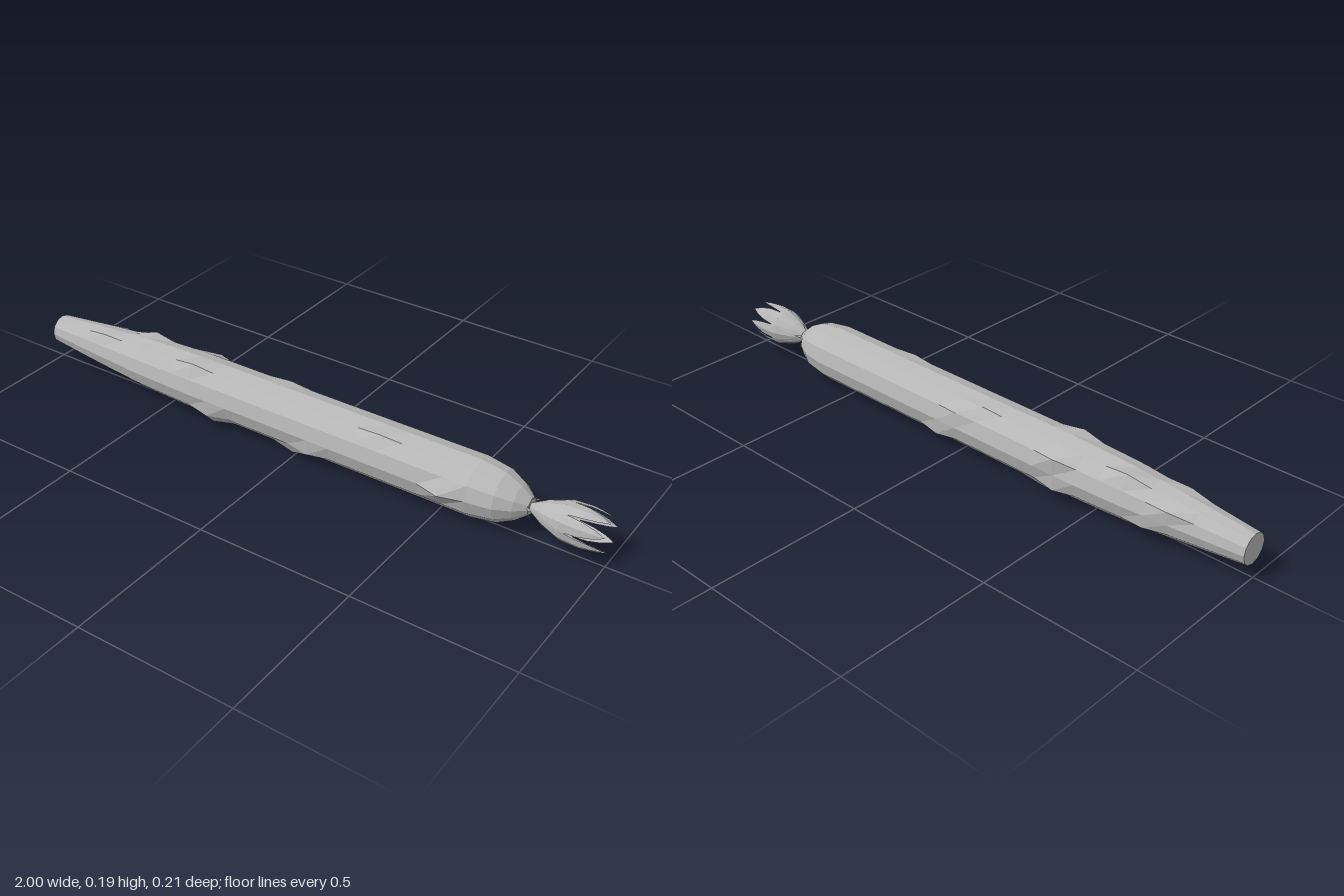
import * as THREE from 'three';

const SIDES = 12;
const CY = 0.102, CZ = -0.011; // long axis of the fruit

// Radius of the fruit along x
const PROFILE = [[-1, 0.048], [-0.8, 0.068], [-0.6, 0.085], [-0.4, 0.091], [0.6, 0.092], [0.68, 0.08], [0.73, 0.055], [0.765, 0.026]];
// Warts: x, side index (0 top, 3 front, 6 bottom, 9 back), height
const WARTS = [
  [0.53, 3, 0.021], [0.05, 4, 0.012], [-0.35, 4, 0.014], [-0.35, 5, 0.016], [0.22, 6, 0.006],
  [-0.4, 10, 0.018], [0.0, 10, 0.008], [-0.74, 10, 0.012], [-0.62, 11, 0.014], [-0.4, 1, 0.012],
  [-0.08, 11, 0.006], [0.3, 1, 0.006], [0.0, 5, 0.015], [-0.77, 1, 0.007], [-0.3, 7, 0.006],
  [0.05, 8, 0.012], [-0.4, 8, 0.012], [-0.7, 8, 0.008],
];

function radiusAt(x) {
  for (let i = 1; i < PROFILE.length; i++) {
    const [x0, r0] = PROFILE[i - 1], [x1, r1] = PROFILE[i];
    if (x <= x1) return r0 + (r1 - r0) * (x - x0) / (x1 - x0);
  }
  return PROFILE[PROFILE.length - 1][1];
}

// Faceted geometry from points and triangle indices
function faceted(points, index) {
  const g = new THREE.BufferGeometry();
  g.setAttribute('position', new THREE.Float32BufferAttribute(points, 3));
  g.setIndex(index);
  const flat = g.toNonIndexed();
  flat.computeVertexNormals();
  return flat;
}

// Long body: twelve-sided rings with single corners pushed out as warts
function bodyGeometry() {
  const xs = [];
  for (let i = 0; i <= 21; i++) xs.push(-1 + i * 1.6 / 21);
  xs.push(0.68, 0.73, 0.765);
  const rings = xs.map((x) => Array(SIDES).fill(radiusAt(x)));
  for (const [x, k, h] of WARTS) {
    let best = 0;
    xs.forEach((v, i) => { if (Math.abs(v - x) < Math.abs(xs[best] - x)) best = i; });
    rings[best][k] += h;
  }
  const p = [], index = [];
  xs.forEach((x, i) => {
    for (let k = 0; k < SIDES; k++) {
      const a = k / SIDES * Math.PI * 2, r = rings[i][k];
      p.push(x, CY + r * Math.cos(a), CZ + r * Math.sin(a));
    }
  });
  const last = (xs.length - 1) * SIDES, c0 = xs.length * SIDES, c1 = c0 + 1;
  p.push(xs[0], CY, CZ, xs[xs.length - 1], CY, CZ);
  for (let k = 0; k < SIDES; k++) {
    const n = (k + 1) % SIDES;
    for (let i = 0; i < last; i += SIDES) {
      index.push(i + k, i + n, i + SIDES + k, i + n, i + SIDES + n, i + SIDES + k);
    }
    index.push(c0, n, k, c1, last + k, last + n);
  }
  return faceted(p, index);
}

// Thin leaf along x from stations [x, radius, half width], creased on its midrib
function leafGeometry(stations) {
  const p = [], index = [];
  for (const [x, r, w] of stations) p.push(x, r - w * 0.3, -w, x, r, 0, x, r - w * 0.3, w);
  for (let i = 0; i < stations.length - 1; i++) {
    for (let j = 0; j < 2; j++) {
      const a = i * 3 + j, b = a + 3;
      index.push(a, a + 1, b, a + 1, b + 1, b);
    }
  }
  return faceted(p, index);
}

export function createModel() {
  const group = new THREE.Group();
  const skin = new THREE.MeshStandardMaterial({ color: 0xb6b6b6, side: THREE.DoubleSide });
  skin.name = 'plain grey';

  const body = new THREE.Mesh(bodyGeometry(), skin);
  body.name = 'fruitBody';
  group.add(body);

  // Withered flower on the end
  const flower = new THREE.Group();
  flower.name = 'flower';
  flower.position.set(0, CY, CZ + 0.003);
  group.add(flower);

  const petal = leafGeometry([[0.76, 0.01, 0.005], [0.81, 0.038, 0.02], [0.87, 0.06, 0.027], [0.93, 0.063, 0.022], [0.97, 0.058, 0.013], [1, 0.05, 0.001]]);
  for (let i = 0; i < 7; i++) {
    const m = new THREE.Mesh(petal, skin);
    m.name = 'petal';
    m.rotation.x = (i + 0.25) / 7 * Math.PI * 2;
    flower.add(m);
  }

  // Small pointed sepals spreading from the neck
  const sepal = leafGeometry([[0.758, 0.015, 0.006], [0.765, 0.028, 0.005], [0.785, 0.043, 0.0005]]);
  for (let i = 0; i < 5; i++) {
    const m = new THREE.Mesh(sepal, skin);
    m.name = 'sepal';
    m.rotation.x = i / 5 * Math.PI * 2;
    flower.add(m);
  }
  return group;
}
